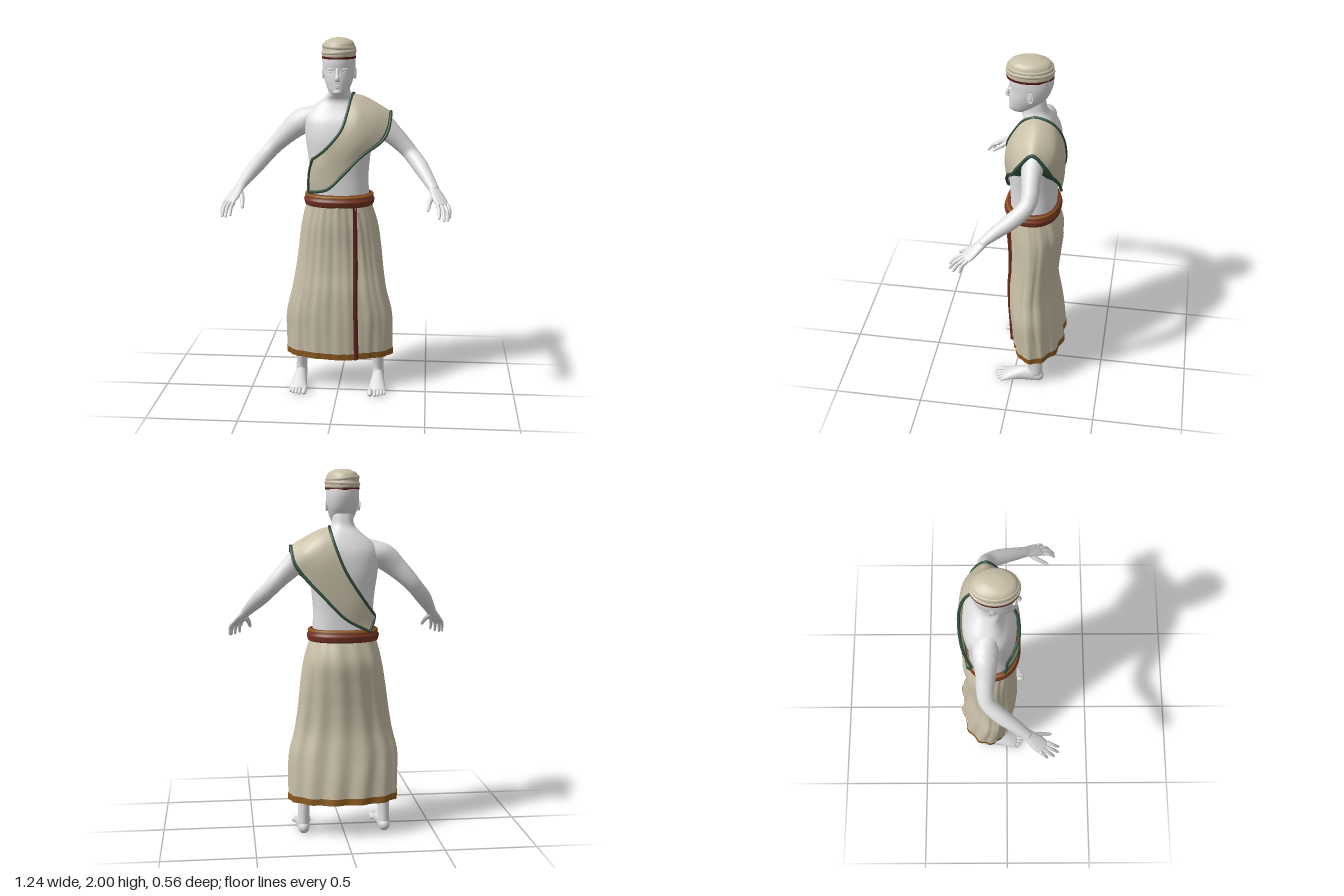
import * as THREE from 'three';

const mat = (name, color, side = THREE.FrontSide) => {
  const m = new THREE.MeshStandardMaterial({ color, side });
  m.name = name;
  return m;
};
const V = (x, y, z) => new THREE.Vector3(x, y, z);

// Smooth interpolation through rows of numbers, u from 0 to 1
function sample(rows, u) {
  const n = rows.length - 1, t = THREE.MathUtils.clamp(u, 0, 1) * n;
  const i = Math.min(Math.floor(t), n - 1), f = t - i;
  const a = rows[Math.max(i - 1, 0)], b = rows[i], c = rows[i + 1], d = rows[Math.min(i + 2, n)];
  return b.map((q, k) => q + 0.5 * f * (c[k] - a[k] + f * (2 * a[k] - 5 * q + 4 * c[k] - d[k]
    + f * (3 * (q - c[k]) + d[k] - a[k]))));
}

// Surface from a function of (u, v); closed joins the last column to the first
function grid(fn, nu, nv, closed = false) {
  const pos = [], idx = [], cols = closed ? nv : nv + 1;
  for (let i = 0; i <= nu; i++)
    for (let j = 0; j < cols; j++) pos.push(...fn(i / nu, j / nv).toArray());
  for (let i = 0; i < nu; i++)
    for (let j = 0; j < nv; j++) {
      const k = (j + 1) % cols, a = i * cols + j, b = i * cols + k;
      idx.push(a, b, a + cols, b, b + cols, a + cols);
    }
  const g = new THREE.BufferGeometry();
  g.setAttribute('position', new THREE.Float32BufferAttribute(pos, 3));
  g.setIndex(idx);
  g.computeVertexNormals();
  return g;
}

// Rounded limb through rows of [x, y, z, side radius, other radius]
function limb(rows, side = V(1, 0, 0), nv = 16, nu = 24) {
  const e = 1 / 6;
  return grid((u, v) => {
    const w = (u - e) / (1 - 2 * e), k = THREE.MathUtils.clamp(w, 0, 1);
    const [x, y, z, ra, rb] = sample(rows, k);
    const T = V(...sample(rows, k + 0.01)).sub(V(...sample(rows, k - 0.01))).normalize();
    const S = side.clone().addScaledVector(T, -side.dot(T)).normalize();
    const U = T.clone().cross(S);
    const over = w < 0 ? (u - e) / e : w > 1 ? (u - 1 + e) / e : 0;
    const c = Math.cos(over * Math.PI / 2), a = v * Math.PI * 2;
    return V(x, y, z).addScaledVector(T, Math.min(ra, rb) * Math.sin(over * Math.PI / 2))
      .addScaledVector(S, ra * c * Math.cos(a)).addScaledVector(U, rb * c * Math.sin(a));
  }, nu, nv, true);
}

// Point on a body shell with rows [y, half width, front z, back z], listed top down
const pw = (s, p) => Math.sign(s) * Math.abs(s) ** p;
function shell(rows, u, a, p, off = 0) {
  const [y, rx, zf, zb] = sample(rows, u);
  return V((rx + off) * pw(Math.cos(a), p), y, (zf + zb) / 2 + ((zf - zb) / 2 + off) * pw(Math.sin(a), p));
}
const TAU = Math.PI * 2;

const TORSO = [[1.8, .05, -.02, -.13], [1.75, .055, -.015, -.14], [1.7, .063, -.012, -.152], [1.66, .1, -.03, -.178],
  [1.61, .16, -.012, -.205], [1.55, .192, .027, -.225], [1.45, .186, .05, -.23], [1.35, .172, .05, -.22],
  [1.25, .163, .043, -.212], [1.15, .165, .04, -.21], [1.05, .165, .04, -.21]];
const HEAD = [[1.95, .07, .02, -.14], [1.91, .086, .045, -.175], [1.87, .089, .05, -.18], [1.83, .087, .046, -.172],
  [1.79, .081, .05, -.155], [1.75, .069, .05, -.125], [1.715, .052, .048, -.09], [1.697, .033, .036, -.05],
  [1.692, .003, 0, -.01]];
const SKIRT = [[1.09, .18, .06, -.22], [.97, .213, .06, -.252], [.84, .232, .05, -.24], [.71, .247, .05, -.225],
  [.585, .268, .06, -.222], [.455, .3, .058, -.24], [.33, .303, .05, -.26], [.192, .3, .04, -.274]];
const BELT = [[1.147, .168, .045, -.212], [1.142, .187, .064, -.226], [1.125, .19, .068, -.23], [1.112, .197, .076, -.237],
  [1.1, .195, .073, -.235], [1.082, .19, .066, -.23], [1.076, .17, .05, -.21]];

// Shawl stations from right hip, over the left shoulder, to the back; neck edge to arm edge
const SHAWL = [
  [-.14, 1.345, .026, -.158, 1.28, .002, -.164, 1.22, 0, -.165, 1.155, -.01],
  [-.105, 1.37, .044, -.1, 1.3, .05, -.08, 1.24, .054, -.06, 1.18, .055],
  [-.05, 1.42, .066, -.02, 1.37, .07, .005, 1.32, .068, .03, 1.265, .062],
  [.02, 1.51, .055, .055, 1.46, .066, .095, 1.415, .062, .135, 1.37, .04],
  [.05, 1.6, .012, .11, 1.56, .034, .17, 1.5, .03, .235, 1.44, 0],
  [.065, 1.665, -.035, .125, 1.635, -.02, .205, 1.58, -.018, .275, 1.51, -.035],
  [.075, 1.695, -.1, .135, 1.68, -.11, .215, 1.638, -.11, .285, 1.595, -.11],
  [.075, 1.665, -.185, .135, 1.63, -.203, .21, 1.575, -.205, .272, 1.51, -.18],
  [.05, 1.58, -.235, .11, 1.54, -.243, .17, 1.49, -.235, .225, 1.44, -.2],
  [0, 1.46, -.25, .04, 1.41, -.25, .08, 1.37, -.245, .12, 1.33, -.23],
  [-.09, 1.32, -.235, -.06, 1.28, -.24, -.03, 1.24, -.238, 0, 1.21, -.232],
  [-.16, 1.225, -.19, -.155, 1.2, -.2, -.145, 1.17, -.205, -.13, 1.14, -.212],
];
function shawlPoint(u, v) {
  const r = sample(SHAWL, u);
  return V(...sample([0, 3, 6, 9].map(k => r.slice(k, k + 3)), v));
}

// Angle on the skirt's front at a given x
const skirtAngle = (u, x) => Math.acos(x / sample(SKIRT, u)[1]);

// Skirt with soft folds, deeper toward the hem and back, and a step beside the overlapping front edge
function skirtPoint(u, a, off = 0) {
  const back = 0.5 - 0.5 * Math.sin(a);
  const fold = (.002 + .006 * u * back) * Math.sin(13 * a + 2 * Math.sin(3 * u))
    + .003 * Math.sin(5 * a + 7 * u) + .002 * Math.sin(29 * a) * (1 - back);
  const past = skirtAngle(u, .094 + .01 * u) - a;
  const step = .02 * THREE.MathUtils.smoothstep(past, 0, .06) * Math.exp(-2.5 * Math.max(past, 0));
  return shell(SKIRT, u, a, 1, off + fold - step);
}

export function createModel() {
  const model = new THREE.Group();
  const skin = mat('pale skin', 0xe0e0e0);
  const cloth = mat('cream cloth', 0xc8bfa7, THREE.DoubleSide);
  const green = mat('green trim', 0x34503e, THREE.DoubleSide);
  const red = mat('red brown belt', 0x763423, THREE.DoubleSide);
  const stripe = mat('dark red stripe', 0x66291e, THREE.DoubleSide);
  const ochre = mat('ochre hem', 0x8a591f, THREE.DoubleSide);
  const dark = mat('dark red lining', 0x5a1815, THREE.DoubleSide);
  const add = (name, geo, m, parent = model) => {
    const mesh = new THREE.Mesh(geo, m);
    mesh.name = name;
    parent.add(mesh);
    return mesh;
  };
  const ball = (name, x, y, z, a, b, c) =>
    add(name, new THREE.SphereGeometry(1, 16, 12).scale(a, b, c).translate(x, y, z), skin);

  // Body and head
  add('torso', grid((u, v) => shell(TORSO, u, v * TAU, .8), 50, 48, true), skin);
  add('head', grid((u, v) => shell(HEAD, u, v * TAU, .95), 40, 40, true), skin);
  add('nose', limb([[0, 1.838, .043, .008, .008], [0, 1.81, .052, .009, .01], [0, 1.787, .062, .012, .011],
    [0, 1.778, .056, .015, .008]]), skin);
  ball('upperLip', 0, 1.751, .046, .022, .005, .008);
  ball('lowerLip', 0, 1.741, .045, .019, .006, .008);
  ball('chin', 0, 1.715, .036, .025, .017, .018);

  for (const m of [1, -1]) {
    const mir = rows => rows.map(([x, ...r]) => [x * m, ...r]);
    const s = m > 0 ? 'left' : 'right';

    // Face sides
    ball(s + 'Brow', m * .035, 1.836, .035, .022, .006, .011);
    ball(s + 'Eye', m * .034, 1.82, .031, .014, .006, .01);
    ball(s + 'Ear', m * .083, 1.806, -.07, .009, .028, .016);
    const rim = add(s + 'EarRim', new THREE.TorusGeometry(.0145, .004, 8, 20).scale(1, 1.7, 1), skin);
    rim.rotation.y = Math.PI / 2 - m * .2;
    rim.position.set(m * .088, 1.808, -.071);

    // Arm, hand and fingers
    add(s + 'Arm', limb(mir([[.07, 1.575, -.11, .05, .065], [.14, 1.56, -.11, .062, .07], [.215, 1.535, -.108, .073, .064],
      [.285, 1.477, -.108, .059, .052], [.35, 1.415, -.112, .049, .046], [.4, 1.36, -.1, .043, .043],
      [.45, 1.305, -.035, .043, .042], [.49, 1.255, .04, .036, .034], [.525, 1.208, .105, .029, .023]]),
    V(m, 0, -.3), 20, 36), skin);
    const across = V(m * .82, -.1, -.5);
    add(s + 'Hand', limb(mir([[.517, 1.218, .09, .028, .022], [.54, 1.185, .13, .036, .018], [.56, 1.155, .165, .042, .016],
      [.574, 1.137, .188, .04, .012]]), across), skin);
    [[.546, 1.135, .208, .556, 1.08, .27], [.567, 1.133, .202, .582, 1.07, .268],
      [.585, 1.133, .19, .603, 1.068, .246], [.6, 1.135, .175, .612, 1.075, .21]].forEach(([a, b, c, d, e, f], i) =>
      add(s + 'Finger' + (i + 1), limb(mir([[a, b, c, .0105, .0105], [(a + d) / 2 + .004, (b + e) / 2 + .008, (c + f) / 2 + .004, .0095, .0095],
        [d, e, f, .007, .007]]), V(m, 0, 0), 10, 12), skin));
    add(s + 'Thumb', limb(mir([[.525, 1.18, .13, .016, .016], [.506, 1.15, .175, .013, .013],
      [.497, 1.115, .228, .008, .008]]), V(m, 0, 0), 10, 12), skin);

    // Leg, foot and toes
    add(s + 'Leg', limb(mir([[.1, .95, -.09, .08, .08], [.14, .72, -.09, .075, .08], [.175, .5, -.1, .055, .06],
      [.2, .35, -.12, .048, .06], [.22, .2, -.122, .034, .054], [.224, .11, -.13, .031, .043],
      [.225, .06, -.128, .033, .045]])), skin);
    add(s + 'Foot', limb(mir([[.225, .038, -.15, .031, .035], [.225, .046, -.11, .035, .045], [.225, .046, -.06, .037, .045],
      [.225, .034, 0, .045, .033], [.226, .021, .045, .051, .02]])), skin);
    [.112, .11, .101, .09, .075].forEach((z, i) => {
      const x = [.185, .211, .23, .248, .264][i], r = i ? .0098 : .0145;
      add(s + 'Toe' + (i + 1), limb(mir([[x, .02, .035, r, r], [x + .002, .021, z - .035, r, r],
        [x + .003, r + .001, z - r, r, r]]), V(m, 0, 0), 10, 12), skin);
    });
  }

  // Skirt, hem, lining and front stripe
  add('skirt', grid((u, v) => skirtPoint(u * .965, v * TAU), 50, 180, true), cloth);
  add('skirtHem', grid((u, v) => skirtPoint(.953 + .047 * u, v * TAU, .003), 4, 180, true), ochre);
  add('hemLining', grid((u, v) => skirtPoint(.953 + .047 * u, v * TAU, -.004), 4, 180, true), dark);
  add('skirtStripe', grid((u, v) => skirtPoint(u, skirtAngle(u, .082 + .01 * u + .03 * v), .006), 50, 10), stripe);
  add('belt', grid((u, v) => shell(BELT, u, v * TAU, .9), 18, 64, true), red);
  add('beltPiping', grid((u, v) => shell(BELT, .1 + .16 * u, v * TAU, .9, .0025), 4, 64, true), ochre);

  // Shawl with trimmed edges and a turned-in armhole
  add('shawl', grid((u, v) => shawlPoint(u, .03 + .9 * v), 88, 20), cloth);
  add('shawlArmTrim', grid((u, v) => shawlPoint(u, .93 + .07 * v), 88, 2), green);
  add('shawlNeckTrim', grid((u, v) => shawlPoint(u, .03 * v), 88, 1), green);
  add('armholeLining', grid((u, v) => {
    const p = shawlPoint(.28 + .5 * u, 1), k = v * Math.sin(Math.PI * u) ** .5;
    return p.add(V(-.01 * k, -.012 * k, (-.1 - p.z) * .6 * k));
  }, 40, 4), green);
  const edge = (name, fn, n) => add(name, limb(Array.from({ length: n }, (_, i) =>
    [...fn(i / (n - 1)).toArray(), .008, .008]), V(.3, .2, .93), 8, 96), green);
  edge('neckEdge', t => shawlPoint(t, 0), 45);
  edge('armEdge', t => shawlPoint(t, 1), 45);
  edge('frontHipEdge', t => shawlPoint(0, t), 8);
  edge('backHipEdge', t => shawlPoint(1, t), 8);

  // Wrapped head cloth
  const cap = new THREE.Group();
  cap.name = 'headCloth';
  cap.position.z = -.058;
  model.add(cap);
  const lathe = pts => new THREE.LatheGeometry(pts.map(p => new THREE.Vector2(...p)), 48).scale(.091, 1, .121);
  add('headBand', lathe([[.93, 1.89], [1.01, 1.89], [1.02, 1.897], [1, 1.904]]), dark, cap);
  add('wrap', lathe([[1, 1.9], [1.02, 1.908], [1.01, 1.92], [.98, 1.935], [.96, 1.95], [.92, 1.965],
    [.88, 1.971], [.82, 1.98], [.68, 1.988], [.58, 1.989], [.5, 1.995], [.3, 1.999], [0, 2]]), cloth, cap);
  [[1.924, .06, 1], [1.95, -.08, .96]].forEach(([y, tilt, k], i) => {
    const roll = add('wrapRoll' + (i + 1), new THREE.TorusGeometry(1, .09, 10, 48).rotateX(Math.PI / 2)
      .scale(.088 * k, .13, .116 * k), cloth, cap);
    roll.position.y = y;
    roll.rotation.z = tilt;
  });
  return model;
}
